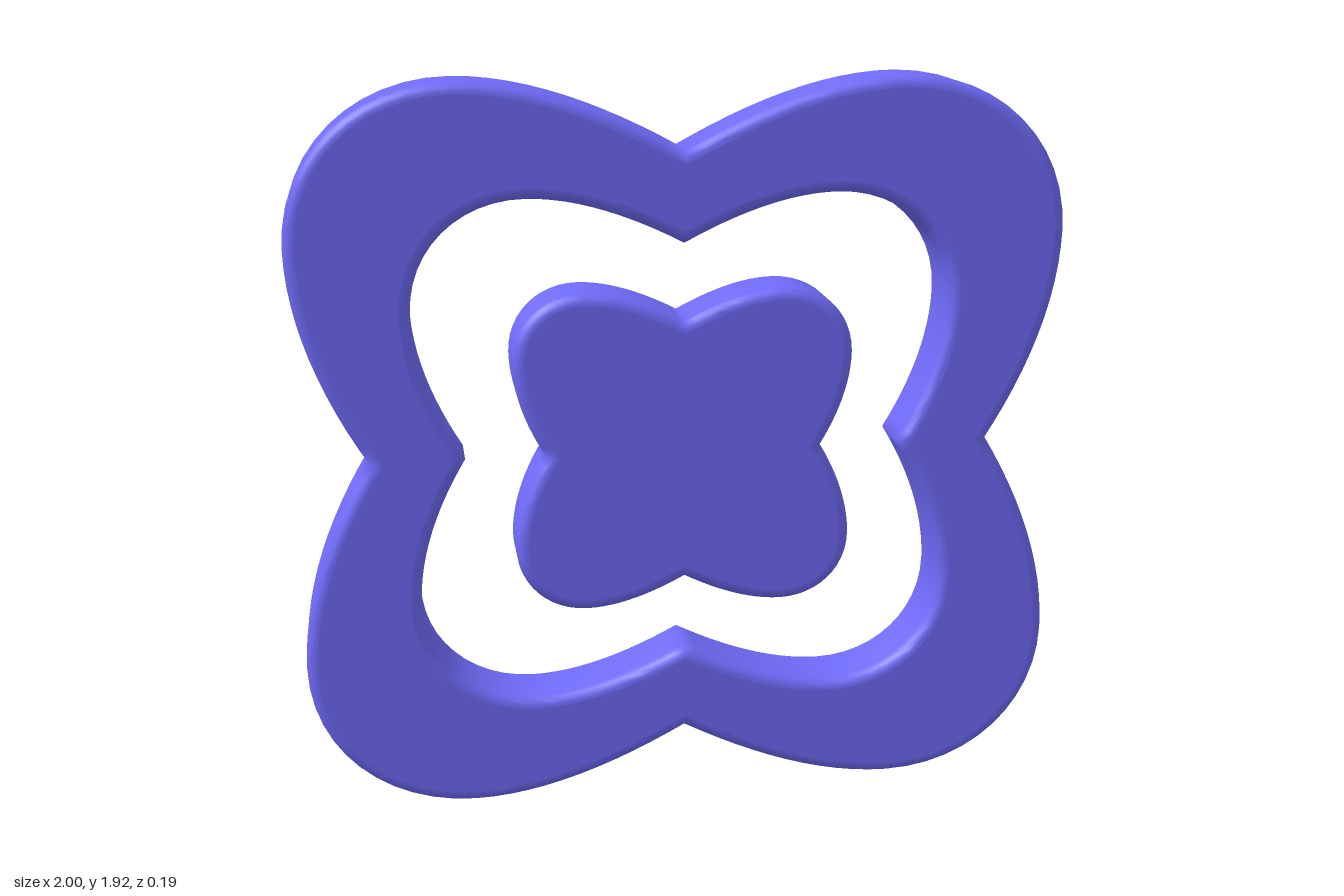
import * as THREE from 'three';
import { toCreasedNormals } from 'three/addons/utils/BufferGeometryUtils.js';

const HALF = 0.095;   // half thickness
const BEVEL = 0.03;
const CENTER_Y = 0.9625;

// Four-lobed outline with sharp notches on the axes, counter-clockwise.
// notchX/notchY: notch distances; w/h: half extents;
// px: x where the top is highest, py: y where the side is widest.
function lobedOutline(path, { notchX, notchY, w, h, px, py }) {
  // One quadrant, from the top notch round to the side notch
  const quadrant = new THREE.CurvePath();
  const v = (x, y) => new THREE.Vector2(x, y);
  const k = 0.57;
  quadrant.add(new THREE.CubicBezierCurve(v(0, notchY),
    v(px * 0.32, notchY + (h - notchY) * 0.56), v(px * 0.67, h), v(px, h)));
  quadrant.add(new THREE.CubicBezierCurve(v(px, h),
    v(px + (w - px) * k, h), v(w, py + (h - py) * k), v(w, py)));
  quadrant.add(new THREE.CubicBezierCurve(v(w, py),
    v(w, py * 0.67), v(notchX + (w - notchX) * 0.6, py * 0.32), v(notchX, 0)));
  const down = quadrant.getPoints(12);
  const up = [...down].reverse();
  // Mirror into the other three quadrants, dropping the shared end points
  const mirror = (pts, sx, sy) => pts.slice(0, -1).map(p => v(p.x * sx, p.y * sy));
  path.setFromPoints([
    ...mirror(up, 1, 1), ...mirror(down, -1, 1), ...mirror(up, -1, -1), ...mirror(down, 1, -1),
  ]);
  return path;
}

// Rounded-edge slab with smooth walls and flat front and back faces
function slab(shape, name, material) {
  const extruded = new THREE.ExtrudeGeometry(shape, {
    depth: 2 * (HALF - BEVEL), bevelEnabled: true, bevelThickness: BEVEL,
    bevelSize: BEVEL, bevelOffset: -BEVEL, bevelSegments: 5,
  });
  extruded.translate(0, 0, -(HALF - BEVEL));
  const geometry = toCreasedNormals(extruded, 1.35);
  const pos = geometry.attributes.position;
  const normal = geometry.attributes.normal;
  for (let i = 0; i < pos.count; i += 3) {
    const z = [0, 1, 2].map(j => pos.getZ(i + j));
    if (z.every(c => Math.abs(c) > HALF - 1e-4)) {
      for (let j = 0; j < 3; j++) normal.setXYZ(i + j, 0, 0, Math.sign(z[0]));
    }
  }
  const mesh = new THREE.Mesh(geometry, material);
  mesh.name = name;
  mesh.position.y = CENTER_Y;
  return mesh;
}

export function createModel() {
  const group = new THREE.Group();
  group.name = 'lobedEmblem';
  const material = new THREE.MeshStandardMaterial({ color: 0x706bfa });

  // Outer ring
  const ring = lobedOutline(new THREE.Shape(),
    { notchX: 0.815, notchY: 0.78, w: 1.0, h: 0.96, px: 0.57, py: 0.555 });
  ring.holes.push(lobedOutline(new THREE.Path(),
    { notchX: 0.57, notchY: 0.547, w: 0.695, h: 0.668, px: 0.40, py: 0.385 }));
  group.add(slab(ring, 'outerRing', material));

  // Centre piece
  const core = lobedOutline(new THREE.Shape(),
    { notchX: 0.363, notchY: 0.348, w: 0.444, h: 0.427, px: 0.26, py: 0.25 });
  group.add(slab(core, 'centerPiece', material));

  return group;
}
